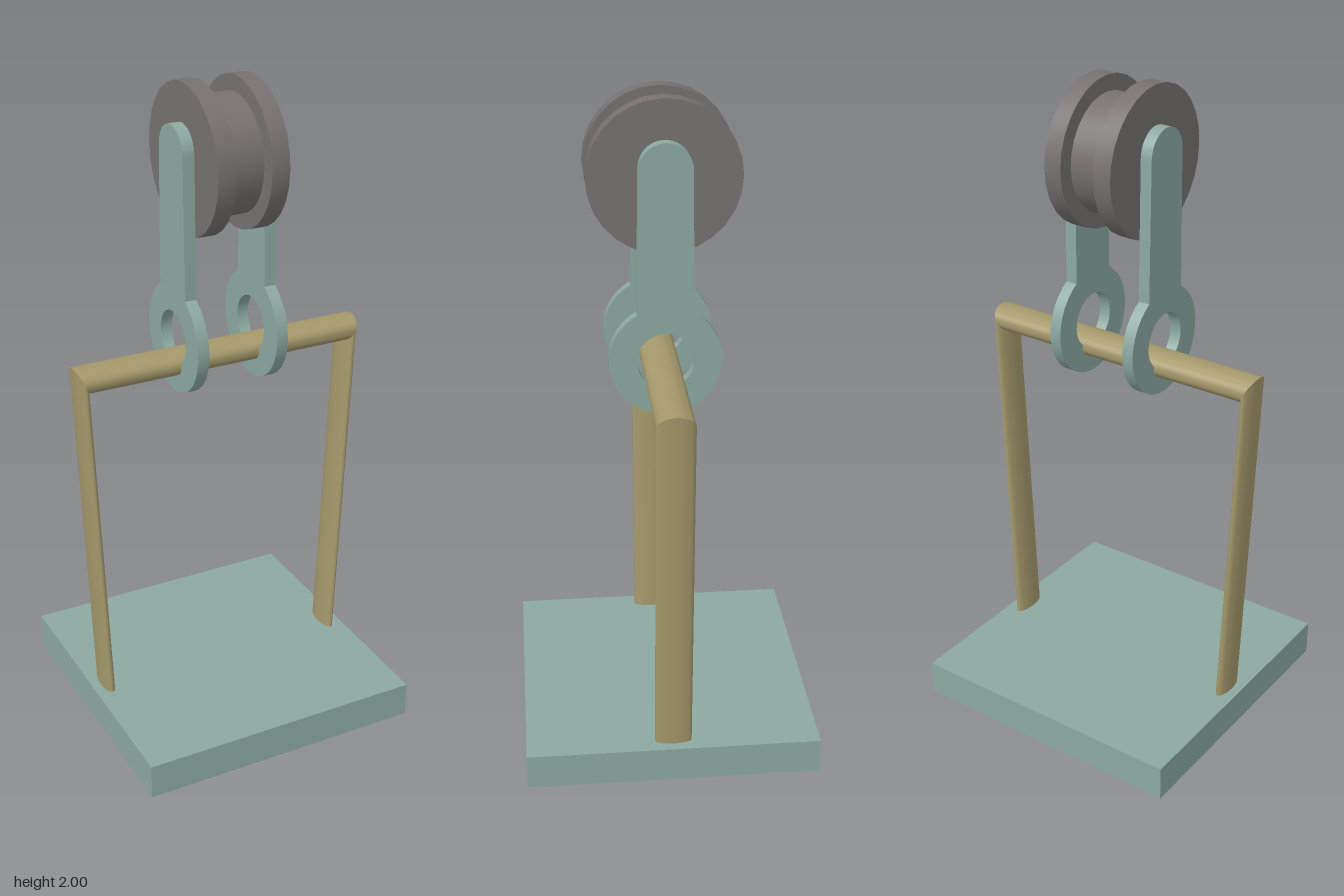
import * as THREE from 'three';
import { toCreasedNormals } from 'three/addons/utils/BufferGeometryUtils.js';

const material = (name, color) => {
  const m = new THREE.MeshStandardMaterial({ color });
  m.name = name;
  return m;
};

// Flat oval tube with mitred corners; each station gives its centre and in-plane half-thickness vector
function mitredTube(stations, halfDepth, sides) {
  const pos = [], index = [];
  for (const [cx, cy, ox, oy] of stations) {
    for (let i = 0; i < sides; i++) {
      const a = (i / sides) * Math.PI * 2, c = Math.cos(a);
      pos.push(cx + ox * c, cy + oy * c, halfDepth * Math.sin(a));
    }
  }
  for (let s = 0; s < stations.length - 1; s++) {
    for (let i = 0; i < sides; i++) {
      const a = s * sides + i, b = s * sides + (i + 1) % sides;
      index.push(a, a + sides, b, b, a + sides, b + sides);
    }
  }
  // end caps, hidden inside the base
  const last = (stations.length - 1) * sides;
  for (let i = 1; i < sides - 1; i++) {
    index.push(0, i, i + 1, last, last + i + 1, last + i);
  }
  const g = new THREE.BufferGeometry();
  g.setAttribute('position', new THREE.Float32BufferAttribute(pos, 3));
  g.setIndex(index);
  return toCreasedNormals(g, 0.6);
}

export function createModel() {
  const model = new THREE.Group();
  const teal = material('teal paint', 0x8ca8a1);
  const brass = material('dull brass', 0xa4986b);
  const grey = material('grey iron', 0x767170);
  const add = (name, geometry, mat) => {
    const mesh = new THREE.Mesh(geometry, mat);
    mesh.name = name;
    model.add(mesh);
    return mesh;
  };

  // Square base plate
  add('basePlate', new THREE.BoxGeometry(0.89, 0.11, 0.89), teal).position.y = 0.055;

  // Handle: two splayed legs and a crossbar
  const handle = mitredTube([
    [-0.397, 0.1, -0.019, 0],
    [-0.444, 1.176, -0.019, 0.039],
    [0.444, 1.176, 0.019, 0.039],
    [0.397, 0.1, 0.019, 0],
  ], 0.056, 32);
  brass.side = THREE.DoubleSide;
  add('handle', handle, brass);

  // Grooved wheel
  const profile = [[0, -0.11], [0.22, -0.11], [0.22, -0.055], [0.173, -0.055],
    [0.173, 0.055], [0.22, 0.055], [0.22, 0.11], [0, 0.11]]
    .map(([r, y]) => new THREE.Vector2(r, y));
  const wheel = toCreasedNormals(new THREE.LatheGeometry(profile, 28), 0.6);
  wheel.rotateZ(Math.PI / 2);
  add('wheel', wheel, grey).position.y = 1.78;

  // Hanger plates: ring around the crossbar, tapered arm, round top
  const ringY = 1.25, ringR = 0.164, topY = 1.81, topR = 0.076;
  const joint = Math.acos(0.082 / ringR);
  const outline = new THREE.Shape();
  outline.absarc(0, ringY, ringR, Math.PI - joint, Math.PI * 2 + joint, false);
  outline.absarc(0, topY, topR, 0, Math.PI, false);
  outline.closePath();
  const hole = new THREE.Path();
  hole.absarc(0, ringY, 0.084, 0, Math.PI * 2, true);
  outline.holes.push(hole);
  const plate = toCreasedNormals(new THREE.ExtrudeGeometry(outline,
    { depth: 0.036, bevelEnabled: false, curveSegments: 16 }), 0.5);
  plate.translate(0, 0, -0.018).rotateY(Math.PI / 2);
  for (const [name, side] of [['leftHanger', 1], ['rightHanger', -1]]) {
    add(name, plate, teal).position.x = side * 0.128;
  }
  return model;
}
